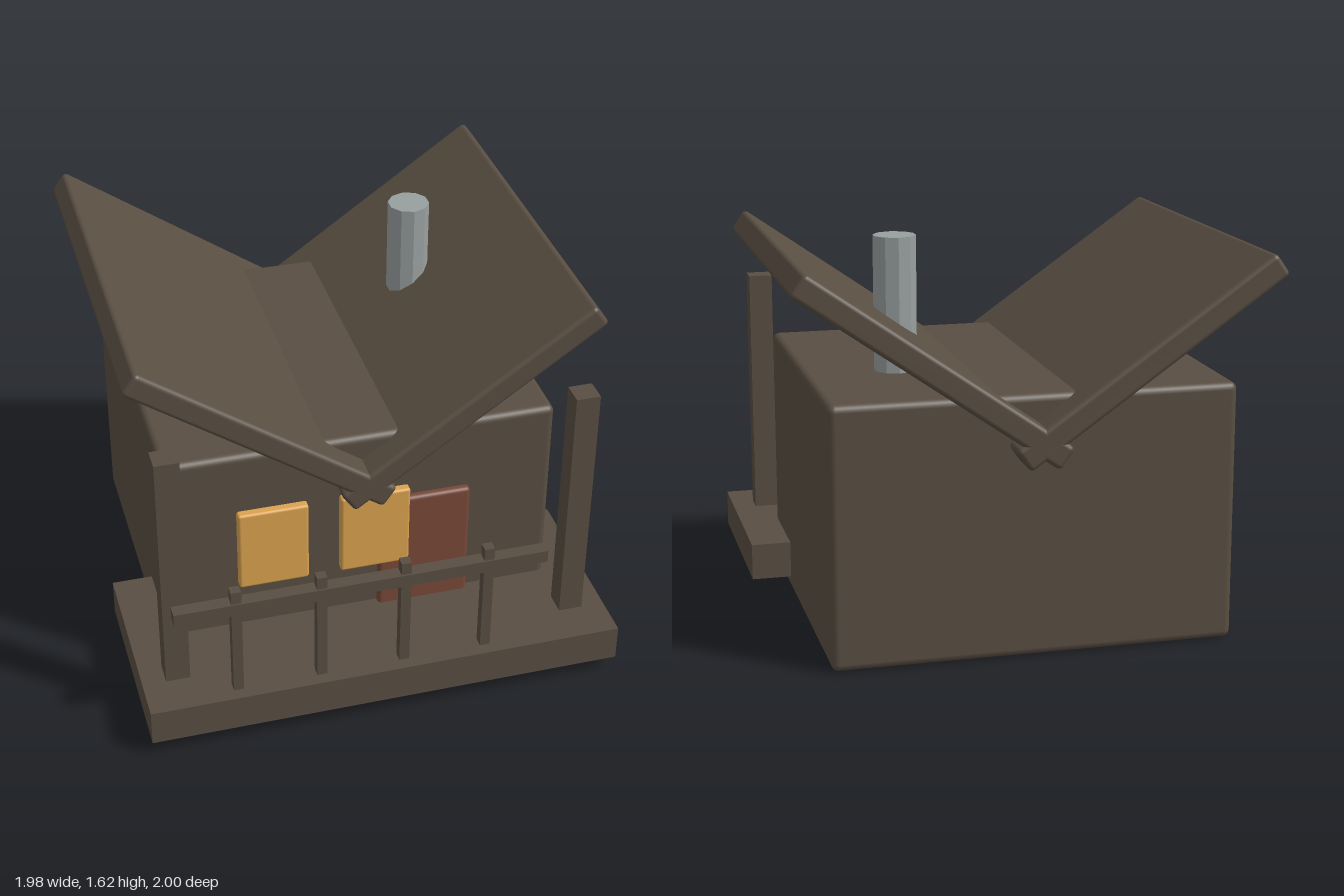
import * as THREE from 'three';
import { RoundedBoxGeometry } from 'three/addons/geometries/RoundedBoxGeometry.js';

const material = (name, color, flatShading = false) => {
  const m = new THREE.MeshStandardMaterial({ color, flatShading });
  m.name = name;
  return m;
};

export function createModel() {
  const group = new THREE.Group();
  const wood = material('darkWood', 0x594e42);
  const amber = material('amberWindow', 0xdba24e);
  const red = material('redBrownDoor', 0x774837);
  const metal = material('greyMetal', 0x98a09f, true);

  const add = (name, geometry, mat, x, y, z) => {
    const mesh = new THREE.Mesh(geometry, mat);
    mesh.name = name;
    mesh.position.set(x, y, z);
    group.add(mesh);
    return mesh;
  };
  // Boxes given by their limits on each axis; radius rounds the edges
  const box = (name, mat, [x0, x1], [y0, y1], [z0, z1], radius = 0) => {
    const size = [x1 - x0, y1 - y0, z1 - z0];
    const geometry = radius
      ? new RoundedBoxGeometry(...size, 3, radius)
      : new THREE.BoxGeometry(...size);
    return add(name, geometry, mat, (x0 + x1) / 2, (y0 + y1) / 2, (z0 + z1) / 2);
  };

  // Cabin walls
  box('cabinBody', wood, [-0.82, 0.82], [0.005, 1.07], [-0.87, 0.55], 0.03);

  // Two roof slabs crossing in a V
  for (const side of [-1, 1]) {
    const slab = add(side < 0 ? 'roofRight' : 'roofLeft',
      new RoundedBoxGeometry(1.26, 0.105, 1.67, 3, 0.02), wood, side * 0.428, 1.197, -0.165);
    slab.rotation.z = side * THREE.MathUtils.degToRad(35);
  }

  // Chimney pipe
  add('chimney', new THREE.CylinderGeometry(0.0875, 0.0875, 0.72, 10), metal, 0.442, 1.26, -0.305);

  // Door and windows
  box('door', red, [0.07, 0.46], [0, 0.75], [0.51, 0.581], 0.018);
  for (const x of [-0.378, 0.052]) {
    box('window', amber, [x - 0.147, x + 0.147], [0.43, 0.8], [0.52, 0.586], 0.012);
  }

  // Porch deck and posts
  box('porchDeck', wood, [-0.99, 0.987], [0.065, 0.22], [0.155, 1]);
  for (const x of [-0.843, 0.84]) {
    box('porchPost', wood, [x - 0.05, x + 0.05], [0.055, 1.29], [0.73, 0.827]);
  }

  // Railing
  box('railing', wood, [-0.87, 0.665], [0.61, 0.665], [0.9, 0.956]);
  for (let i = 0; i < 4; i++) {
    const x = -0.62 + i * 0.346;
    box('baluster', wood, [x - 0.021, x + 0.021], [0.15, 0.72], [0.907, 0.949]);
  }

  return group;
}
